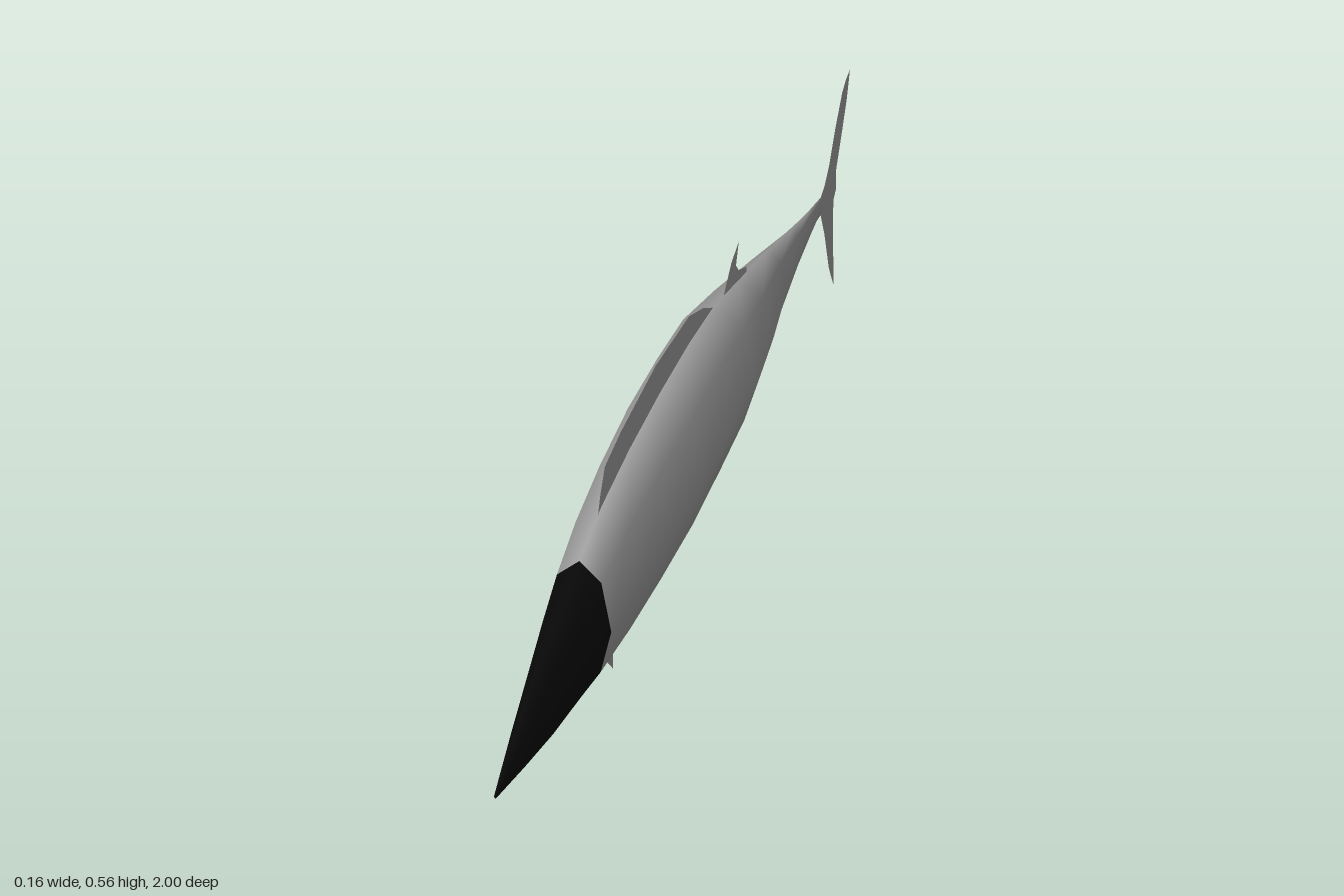
import * as THREE from 'three';

const skin = new THREE.MeshStandardMaterial({ name: 'greySkin', color: 0xa0a0a0 });
const head = new THREE.MeshStandardMaterial({ name: 'blackHead', color: 0x080808 });
const finSkin = new THREE.MeshStandardMaterial({ name: 'greyFin', color: 0xa0a0a0, side: THREE.DoubleSide });

// Body stations from snout to tail: z, top, bottom, half width
const STATIONS = [
  [1.0, 0.302, 0.294, 0.002], [0.9, 0.347, 0.263, 0.015], [0.8, 0.386, 0.237, 0.028],
  [0.7, 0.42, 0.224, 0.042], [0.62, 0.445, 0.215, 0.054], [0.5, 0.472, 0.199, 0.064],
  [0.36, 0.485, 0.194, 0.074], [0.2, 0.488, 0.192, 0.082], [0.04, 0.482, 0.196, 0.082],
  [-0.1, 0.467, 0.203, 0.081], [-0.25, 0.428, 0.215, 0.065], [-0.43, 0.378, 0.229, 0.039],
  [-0.6, 0.326, 0.233, 0.018], [-0.72, 0.293, 0.234, 0.007], [-0.81, 0.271, 0.236, 0.001],
];
const HEAD_STATION = 4;

// Eight-sided cross-section: share of half width, share of height
const SECTION = [
  [0, 1], [0.67, 0.86], [1, 0.487], [0.7, 0.147],
  [0, 0], [-0.7, 0.147], [-1, 0.487], [-0.67, 0.86],
];

function createBody() {
  const n = SECTION.length;
  const positions = [];
  const indices = [];
  STATIONS.forEach(([z, top, bottom, width], r) => {
    // the edge of the dark head leans slightly forward at the belly
    const lean = r === HEAD_STATION ? 0.024 : 0;
    for (const [u, h] of SECTION) {
      positions.push(u * width, bottom + h * (top - bottom), z + lean * (0.5 - h));
    }
  });
  for (let r = 0; r < STATIONS.length - 1; r++) {
    for (let k = 0; k < n; k++) {
      const a = r * n + k;
      const b = r * n + (k + 1) % n;
      indices.push(a, b, a + n, b, b + n, a + n);
    }
  }
  // snout and tail caps
  const last = (STATIONS.length - 1) * n;
  const headCount = HEAD_STATION * n * 6;
  const snoutCap = [];
  for (let k = 1; k < n - 1; k++) {
    snoutCap.push(0, k + 1, k);
    indices.push(last, last + k, last + k + 1);
  }
  const all = [...snoutCap, ...indices];
  const split = snoutCap.length + headCount;
  const geometry = new THREE.BufferGeometry();
  geometry.setAttribute('position', new THREE.Float32BufferAttribute(positions, 3));
  geometry.setIndex(all);
  geometry.addGroup(0, split, 0);
  geometry.addGroup(split, all.length - split, 1);
  geometry.computeVertexNormals();
  const mesh = new THREE.Mesh(geometry, [head, skin]);
  mesh.name = 'body';
  return mesh;
}

// Flat fin on the centre plane from a [z, y] outline
function createFin(name, outline) {
  const shape = new THREE.Shape(outline.map(([z, y]) => new THREE.Vector2(-z, y)));
  const geometry = new THREE.ShapeGeometry(shape);
  geometry.rotateY(Math.PI / 2);
  const mesh = new THREE.Mesh(geometry, finSkin);
  mesh.name = name;
  return mesh;
}

const FINS = {
  dorsalFin: [
    [0.52, 0.46], [0.505, 0.495], [0.48, 0.535], [0.4, 0.547], [0.22, 0.555],
    [0.04, 0.536], [-0.04, 0.502], [-0.1, 0.465], [0.04, 0.46], [0.3, 0.46],
  ],
  rearDorsalFin: [
    [-0.15, 0.44], [-0.17, 0.46], [-0.205, 0.49], [-0.25, 0.508],
    [-0.234, 0.468], [-0.25, 0.449], [-0.3, 0.425], [-0.3, 0.405],
  ],
  pelvicFin: [
    [0.52, 0.21], [0.505, 0.183], [0.485, 0.145], [0.46, 0.113], [0.457, 0.185], [0.44, 0.205],
  ],
  analFin: [
    [-0.13, 0.22], [-0.16, 0.207], [-0.21, 0.18], [-0.25, 0.16],
    [-0.24, 0.195], [-0.255, 0.21], [-0.3, 0.23],
  ],
  tailFin: [
    [-0.76, 0.275], [-0.805, 0.273], [-0.83, 0.283], [-0.86, 0.31], [-0.9, 0.37],
    [-0.945, 0.424], [-0.97, 0.438], [-1, 0.445], [-0.982, 0.39], [-0.95, 0.33],
    [-0.915, 0.27], [-0.92, 0.225], [-0.903, 0.212], [-0.9, 0.18], [-0.91, 0.09],
    [-0.922, 0], [-0.905, 0.025], [-0.878, 0.07], [-0.838, 0.17], [-0.805, 0.232], [-0.76, 0.238],
  ],
};

export function createModel() {
  const fish = new THREE.Group();
  fish.name = 'fish';
  fish.add(createBody());
  for (const [name, outline] of Object.entries(FINS)) fish.add(createFin(name, outline));
  return fish;
}
